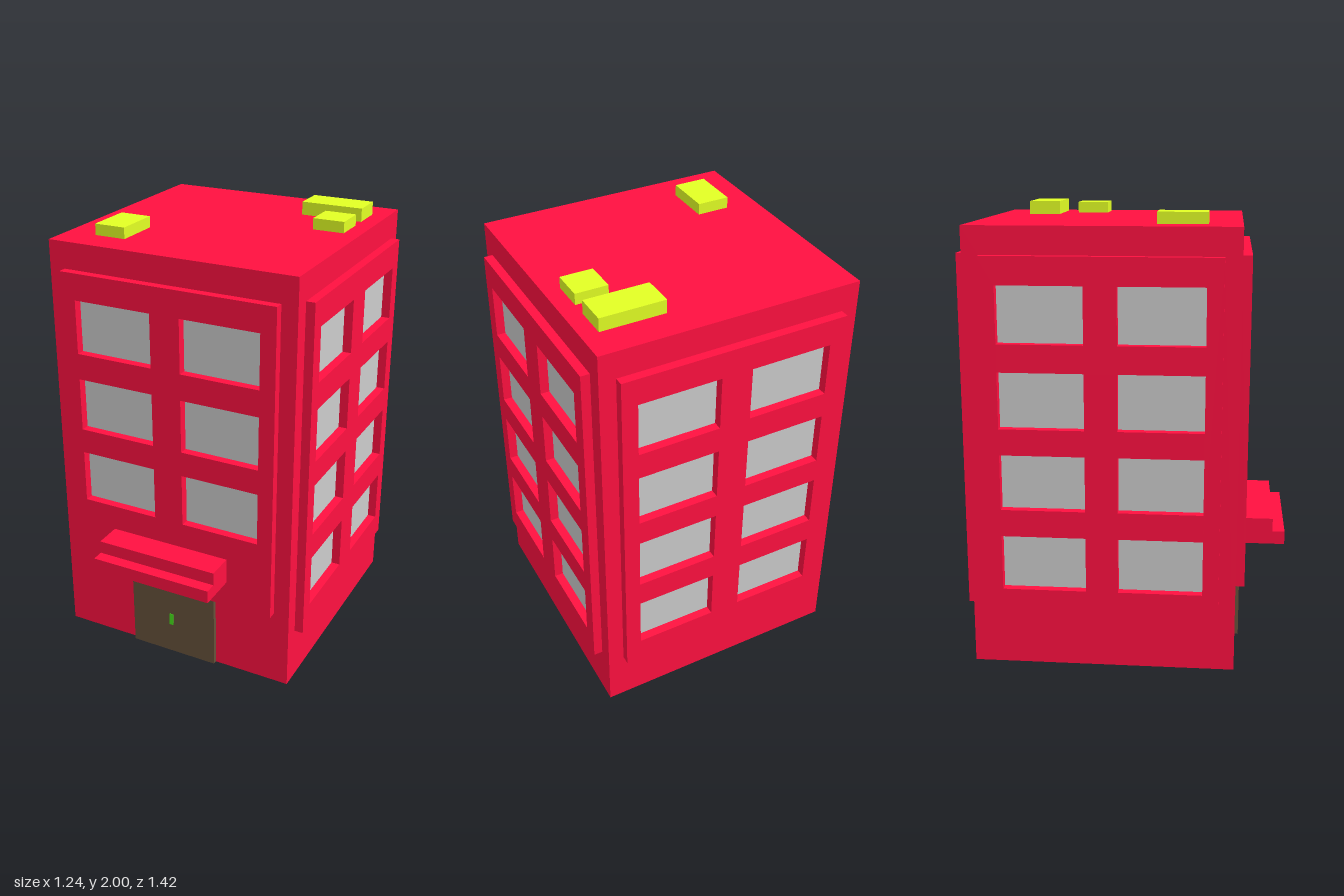
import * as THREE from 'three';

const paint = (color) => new THREE.MeshStandardMaterial({ color, side: THREE.DoubleSide, flatShading: true });

const HALF = 0.58, HEIGHT = 1.94, RELIEF = 0.04;
const PANEL_HALF = 0.507, PANEL_TOP = 1.82;
const ROWS = [[0.365, 0.61], [0.73, 0.975], [1.09, 1.335], [1.455, 1.7]];
const COLUMNS = [[-0.437, -0.07], [0.07, 0.437]];

const corners = (x0, x1, y0, y1) =>
  [[x0, y0], [x1, y0], [x1, y1], [x0, y1]].map(([x, y]) => new THREE.Vector2(x, y));

// Flat sheet in the xy plane, with rectangular openings
function sheet(outline, openings) {
  const shape = new THREE.Shape(outline);
  shape.holes = openings.map((o) => new THREE.Path(corners(...o)));
  return new THREE.ShapeGeometry(shape);
}

// Open rectangular rim running from z = 0 to z = RELIEF
function rim(rect, outward) {
  const loop = corners(...rect);
  const positions = [];
  loop.forEach((a, i) => {
    const b = loop[(i + 1) % 4];
    const [p, q] = outward ? [a, b] : [b, a];
    positions.push(p.x, p.y, 0, q.x, q.y, 0, q.x, q.y, RELIEF);
    positions.push(p.x, p.y, 0, q.x, q.y, RELIEF, p.x, p.y, RELIEF);
  });
  const geometry = new THREE.BufferGeometry();
  geometry.setAttribute('position', new THREE.Float32BufferAttribute(positions, 3));
  geometry.computeVertexNormals();
  return geometry;
}

export function createModel() {
  const red = paint(0xff1040), glass = paint(0xcccccc), yellow = paint(0xe2ff24);
  const brown = paint(0x66523b), green = paint(0x46e41a);

  const model = new THREE.Group();
  model.name = 'apartmentBuilding';
  const building = new THREE.Group();
  building.name = 'building';
  building.position.z = -0.09;
  model.add(building);

  const add = (parent, name, geometry, material) => {
    const mesh = new THREE.Mesh(geometry, material);
    mesh.name = name;
    parent.add(mesh);
    return mesh;
  };
  const box = (parent, name, material, [x0, x1], [y0, y1], [z0, z1]) => {
    const mesh = add(parent, name, new THREE.BoxGeometry(x1 - x0, y1 - y0, z1 - z0), material);
    mesh.position.set((x0 + x1) / 2, (y0 + y1) / 2, (z0 + z1) / 2);
  };

  // Four facades: wall, raised panel and window reveals
  ['front', 'left', 'back', 'right'].forEach((side, turn) => {
    const isFront = side === 'front';
    const facade = new THREE.Group();
    facade.name = side + 'Facade';
    facade.rotation.y = turn * Math.PI / 2;
    building.add(facade);

    const panel = [-PANEL_HALF, PANEL_HALF, isFront ? 0.367 : 0.25, PANEL_TOP];
    const windows = (isFront ? ROWS.slice(1) : ROWS).flatMap((row) => COLUMNS.map((col) => [...col, ...row]));

    let outline = corners(-HALF, HALF, 0, HEIGHT);
    if (isFront) {
      // Doorway notch in the bottom edge
      const notch = [[-0.215, 0], [-0.215, 0.364], [0.215, 0.364], [0.215, 0]];
      outline.splice(1, 0, ...notch.map(([x, y]) => new THREE.Vector2(x, y)));
    }
    add(facade, side + 'Wall', sheet(outline, [panel]), red).position.z = HALF;
    add(facade, side + 'Panel', sheet(corners(...panel), windows), red).position.z = HALF + RELIEF;
    add(facade, side + 'PanelEdge', rim(panel, true), red).position.z = HALF;
    windows.forEach((w) => {
      add(facade, side + 'WindowReveal', rim(w, false), red).position.z = HALF;
    });
  });

  // Roof
  const roof = add(building, 'roof', new THREE.PlaneGeometry(HALF * 2, HALF * 2), red);
  roof.rotation.x = -Math.PI / 2;
  roof.position.y = HEIGHT;

  // Chamfered inner core that forms the window panes and the lobby ceiling
  const c = 0.47;
  const octagon = [[HALF, -c], [HALF, c], [c, HALF], [-c, HALF], [-HALF, c], [-HALF, -c], [-c, -HALF], [c, -HALF]];
  const core = add(building, 'windowPanes', new THREE.ExtrudeGeometry(
    new THREE.Shape(octagon.map(([x, y]) => new THREE.Vector2(x, y))),
    { depth: 1.43, bevelEnabled: false }), glass);
  core.rotation.x = -Math.PI / 2;
  core.position.y = 0.362;

  // Door and handle
  box(model, 'door', brown, [-0.215, 0.215], [0, 0.365], [0.488, 0.51]);
  box(model, 'doorHandle', green, [-0.02, 0], [0.15, 0.21], [0.486, 0.512]);

  // Stepped canopy over the door
  const canopy = new THREE.Shape([[0.53, 0.49], [0.71, 0.49], [0.71, 0.55], [0.655, 0.55], [0.655, 0.61], [0.53, 0.61]]
    .map(([z, y]) => new THREE.Vector2(-z, y)));
  const canopyMesh = add(model, 'canopy',
    new THREE.ExtrudeGeometry(canopy, { depth: 0.58, bevelEnabled: false }), red);
  canopyMesh.rotation.y = Math.PI / 2;
  canopyMesh.position.x = -0.29;

  // Rooftop units
  box(model, 'roofUnitLarge', yellow, [0.217, 0.505], [HEIGHT, 2], [-0.525, -0.38]);
  box(model, 'roofUnitSmall', yellow, [0.36, 0.505], [HEIGHT, 1.99], [-0.31, -0.165]);
  box(model, 'roofUnitFront', yellow, [-0.437, -0.292], [HEIGHT, 1.99], [0.13, 0.345]);

  return model;
}
